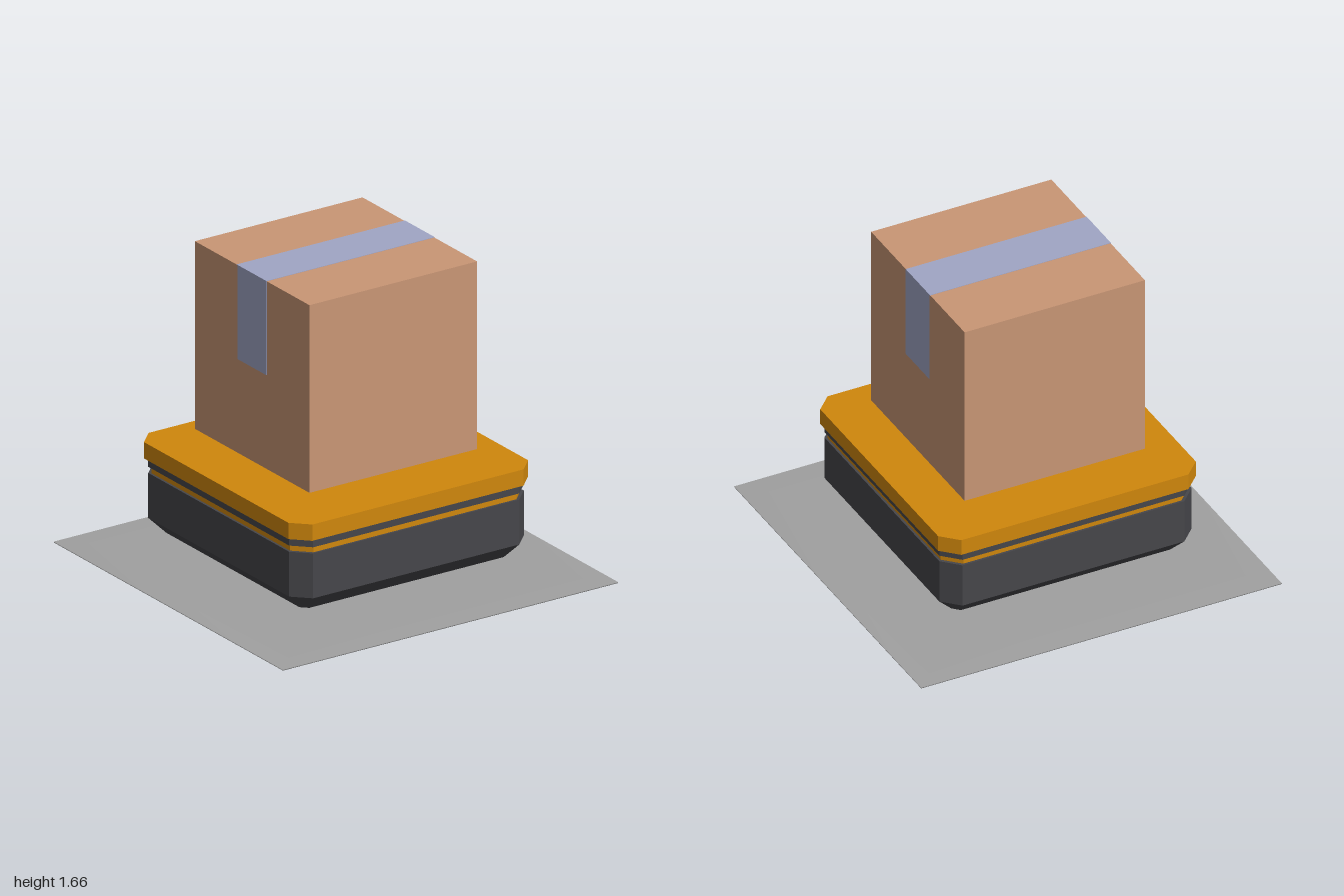
import * as THREE from 'three';
import { ConvexGeometry } from 'three/addons/geometries/ConvexGeometry.js';

function material(name, color) {
  const m = new THREE.MeshStandardMaterial({ color });
  m.name = name;
  return m;
}

// Square ring with cut corners: half is the half width, flat the half length of each side
function octagon(half, flat, y) {
  const points = [];
  for (const a of [-1, 1]) {
    for (const b of [-1, 1]) {
      points.push(new THREE.Vector3(a * half, y, b * flat), new THREE.Vector3(a * flat, y, b * half));
    }
  }
  return points;
}

// Solid through a stack of [half, flat, y] levels
function octagonSolid(levels) {
  return new ConvexGeometry(levels.flatMap((level) => octagon(...level)));
}

export function createModel() {
  const model = new THREE.Group();
  model.name = 'cargoRobot';

  const cardboard = material('cardboard', 0xc99675);
  const tape = material('tape', 0xa0a5c5);
  const gold = material('gold', 0xd0870c);
  const dark = material('darkPlastic', 0x46464a);
  const rubber = material('rubber', 0x38383a);
  const grey = material('groundGrey', 0xa0a0a0);

  function add(name, geometry, mat, x = 0, y = 0, z = 0, parent = model) {
    const mesh = new THREE.Mesh(geometry, mat);
    mesh.name = name;
    mesh.position.set(x, y, z);
    parent.add(mesh);
    return mesh;
  }

  // Ground pad: four-sided, softly shaded slab with a falling rim
  const corner = Math.SQRT2;
  const profile = [[0, 0], [corner, 0], [corner, 0.005], [corner * 0.83, 0.012], [0, 0.012]]
    .map(([r, y]) => new THREE.Vector2(r, y));
  const padGeometry = new THREE.LatheGeometry(profile, 4, Math.PI / 4);
  // Underside centre takes the same soft normal as the corner it meets
  const normals = padGeometry.attributes.normal;
  for (let i = 0; i < normals.count; i += profile.length) {
    normals.setXYZ(i, normals.getX(i + 1), normals.getY(i + 1), normals.getZ(i + 1));
  }
  add('groundPad', padGeometry, grey);

  // Chassis with bevelled underside, then stripe, collar and lifting platform
  add('chassis', octagonSolid([[0.615, 0.58, 0.105], [0.7, 0.615, 0.193], [0.7, 0.615, 0.432]]), dark);
  add('stripe', octagonSolid([[0.688, 0.605, 0.432], [0.688, 0.605, 0.465]]), gold);
  add('collar', octagonSolid([[0.7, 0.615, 0.465], [0.7, 0.615, 0.508]]), dark);
  add('platform', octagonSolid([[0.715, 0.63, 0.508], [0.715, 0.63, 0.595]]), gold);

  // Ball wheels
  const ball = new THREE.SphereGeometry(0.1, 24, 16);
  for (const x of [-0.35, 0.35]) {
    for (const z of [-0.35, 0.35]) add('ballWheel', ball, rubber, x, 0.123, z);
  }

  // Floating parcel with tape over the top and down both sides
  const parcel = new THREE.Group();
  parcel.name = 'parcel';
  parcel.position.y = 1.16;
  model.add(parcel);
  add('carton', new THREE.BoxGeometry(1, 1, 1), cardboard, 0, 0, 0, parcel);
  add('topTape', new THREE.BoxGeometry(1.004, 0.004, 0.26), tape, 0, 0.5, -0.003, parcel);
  for (const side of [-1, 1]) {
    add('sideTape', new THREE.BoxGeometry(0.004, 0.5, 0.254), tape, side * 0.5, 0.25, 0.001, parcel);
  }

  return model;
}
